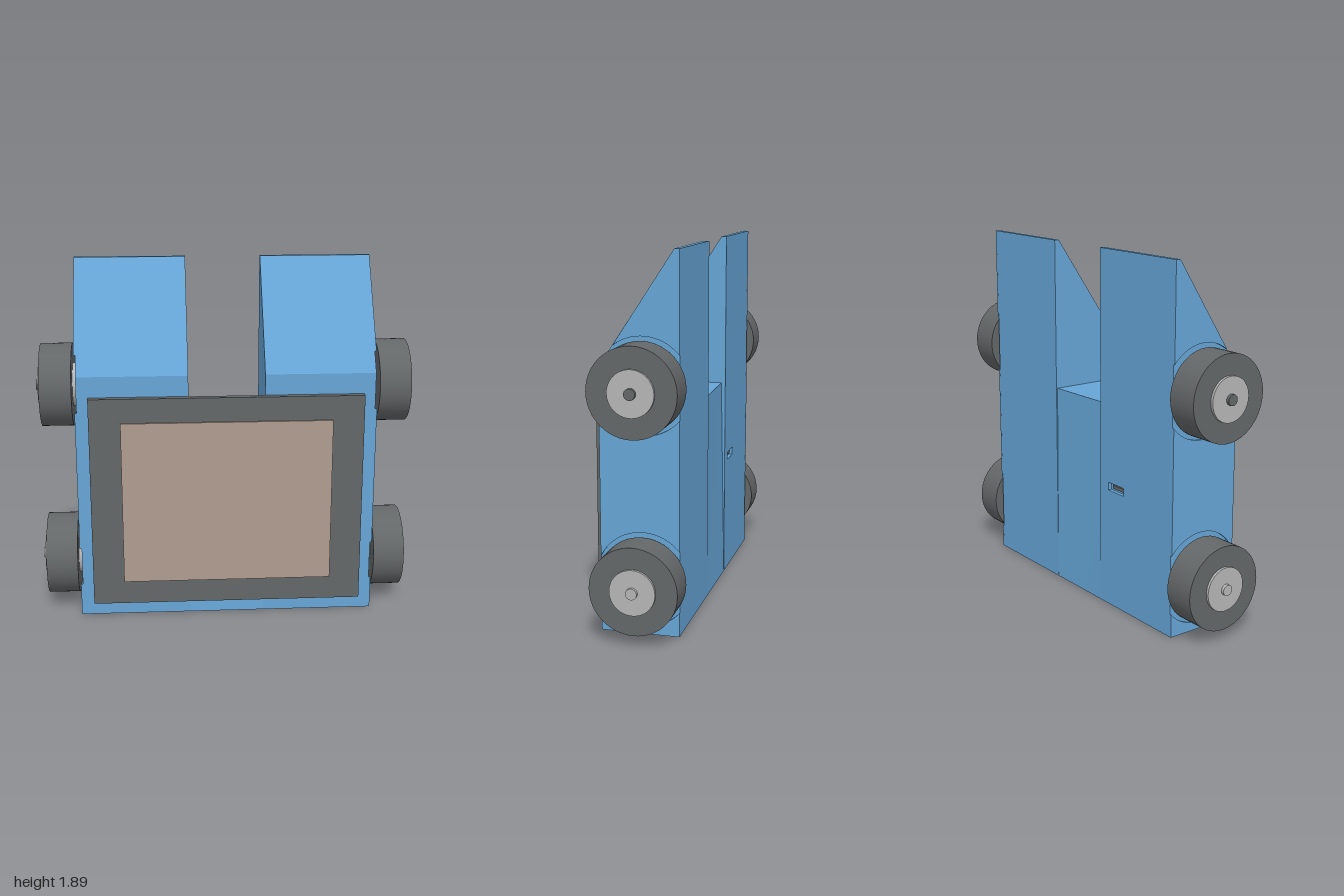
import * as THREE from 'three';

const mat = (name, color) => {
  const m = new THREE.MeshStandardMaterial({ color });
  m.name = name;
  return m;
};

export function createModel() {
  const blue = mat('blue', 0x66a5d6);
  const dark = mat('darkGrey', 0x646768);
  const light = mat('lightGrey', 0xb6b6b6);
  const tan = mat('tan', 0xb09c90);
  const model = new THREE.Group();
  model.name = 'wheeledUnit';

  const add = (name, geometry, material, parent = model) => {
    const mesh = new THREE.Mesh(geometry, material);
    mesh.name = name;
    parent.add(mesh);
    return mesh;
  };
  const box = (x0, x1, y0, y1, z0, z1) =>
    new THREE.BoxGeometry(x1 - x0, y1 - y0, z1 - z0)
      .translate((x0 + x1) / 2, (y0 + y1) / 2, (z0 + z1) / 2);
  // Extrudes a [z, y] outline along x
  const extrudeX = (points, x0, x1) => {
    const shape = new THREE.Shape(points.map(([z, y]) => new THREE.Vector2(-z, y)));
    return new THREE.ExtrudeGeometry(shape, { depth: x1 - x0, bevelEnabled: false })
      .rotateY(Math.PI / 2).translate(x0, 0, 0);
  };

  const BACK = -0.205, FRONT = 0.195, TOP = 1.89, SLAB = -0.185;
  const WHEEL_Z = -0.022, WHEEL_Y = [0.28, 1.24], WELL = 0.24;
  // Points along a wheel well's rim, angles in degrees from the front
  const rim = (cy, a0, a1) => Array.from({ length: 25 }, (_, i) => {
    const a = THREE.MathUtils.degToRad(a0 + (a1 - a0) * i / 24);
    return [WHEEL_Z + WELL * Math.cos(a), cy + WELL * Math.sin(a)];
  });

  // Columns: sloped core, back plate and side skins around the shallow wheel wells
  const core = [[SLAB, 0], [FRONT, 0], [FRONT, 1.33], [-0.18, TOP], [SLAB, TOP]];
  const skins = {
    lowerSkin: [[BACK, 0], [FRONT, 0], ...rim(WHEEL_Y[0], -25.3, -139.8)],
    middleSkin: [...rim(WHEEL_Y[0], 139.8, 25.3), ...rim(WHEEL_Y[1], -25.3, -139.8)],
    upperSkin: [...rim(WHEEL_Y[1], 139.8, 52.4), [-0.18, TOP], [BACK, TOP]],
  };
  for (const side of [1, -1]) {
    const column = new THREE.Group();
    column.name = side > 0 ? 'leftColumn' : 'rightColumn';
    model.add(column);
    const span = (a, b) => (side > 0 ? [a, b] : [-b, -a]);
    const [x0, x1] = span(0.2, 0.78);
    add('columnCore', extrudeX(core, x0, x1), blue, column);

    const plate = new THREE.Shape([[x0, 0], [x1, 0], [x1, TOP], [x0, TOP]]
      .map(p => new THREE.Vector2(...p)));
    if (side < 0) {
      plate.holes.push(new THREE.Path([[-0.4, 0.638], [-0.4, 0.68], [-0.27, 0.68], [-0.27, 0.638]]
        .map(p => new THREE.Vector2(...p))));
      add('socketContact', box(-0.38, -0.29, 0.65, 0.668, -0.192, -0.184), dark, column);
    }
    add('backPlate', new THREE.ExtrudeGeometry(plate, { depth: SLAB - BACK, bevelEnabled: false })
      .translate(0, 0, BACK), blue, column);

    for (const [name, outline] of Object.entries(skins))
      add(name, extrudeX(outline, ...span(0.78, 0.79)), blue, column);
  }

  // Centre block: tapers towards a slightly twisted top
  const centre = box(-0.2, 0.2, 0, 1.09, BACK, FRONT);
  const pos = centre.attributes.position;
  for (let i = 0; i < pos.count; i++) {
    if (pos.getY(i) < 0.5) continue;
    const left = pos.getX(i) > 0;
    pos.setZ(i, pos.getZ(i) > 0 ? (left ? 0.11 : 0.087) : (left ? -0.198 : -0.183));
  }
  centre.computeVertexNormals();
  add('centreBlock', centre, blue);

  // Front screen
  add('screenFrame', box(-0.72, 0.72, 0.077, 1.22, FRONT, 0.232), dark);
  add('screen', box(-0.555, 0.555, 0.205, 1.09, 0.232, 0.241), tan);

  // Wheels with hubs and axle ends
  const discX = (r, x0, x1) => new THREE.CylinderGeometry(r, r, x1 - x0, 48)
    .rotateZ(Math.PI / 2).translate((x0 + x1) / 2, 0, 0);
  for (const side of [1, -1]) {
    WHEEL_Y.forEach((y, row) => {
      const wheel = new THREE.Group();
      wheel.name = (row ? 'upper' : 'lower') + (side > 0 ? 'Left' : 'Right') + 'Wheel';
      wheel.position.set(0, y, WHEEL_Z);
      wheel.rotation.y = side > 0 ? 0 : Math.PI;
      model.add(wheel);
      add('tyre', discX(0.22, 0.803, 0.97), dark, wheel);
      add('hub', discX(0.114, 0.775, 0.984), light, wheel);
      add('axleEnd', discX(0.028, 0.95, 1.0), row ? dark : light, wheel);
    });
  }
  return model;
}
